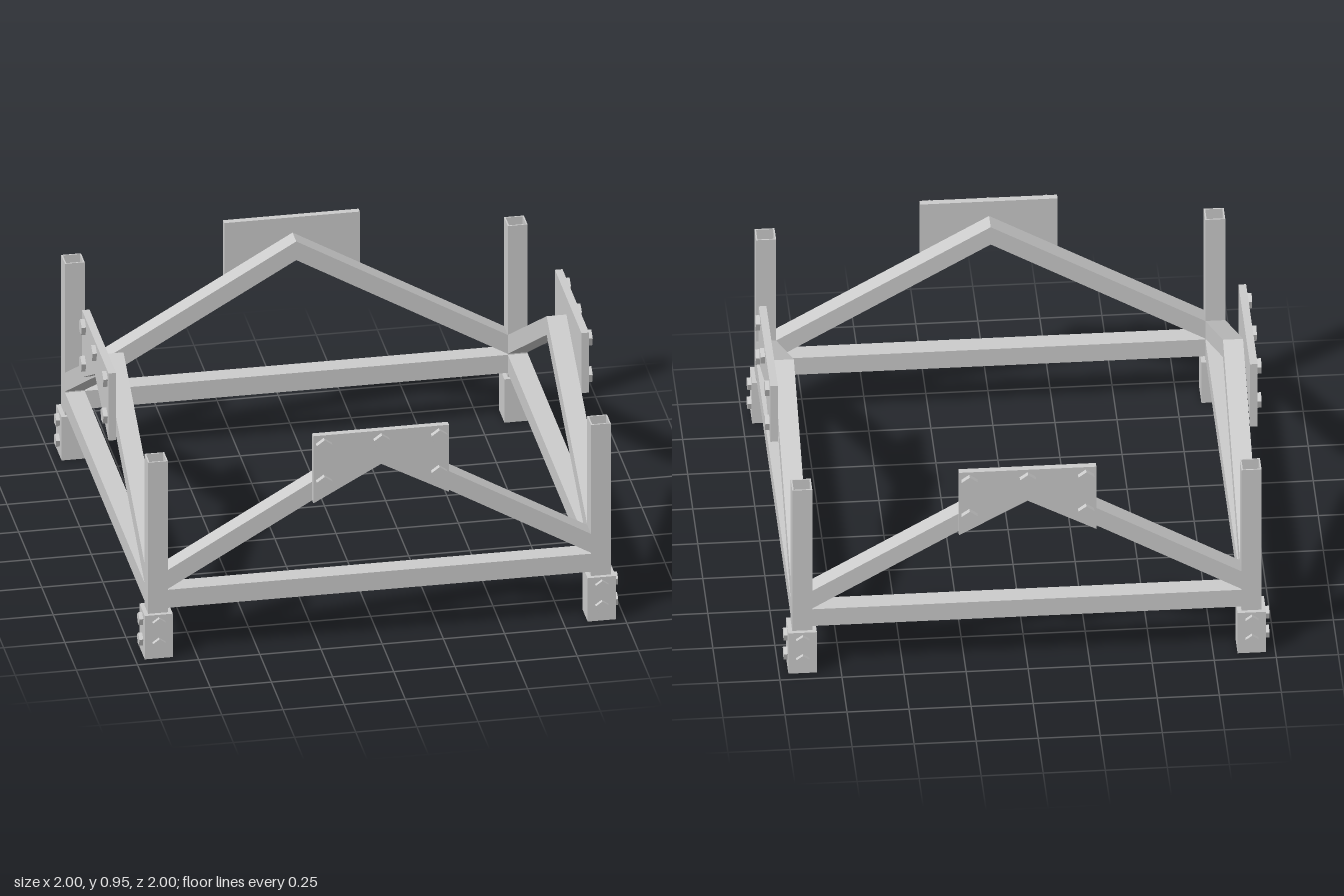
import * as THREE from 'three';

const mat = new THREE.MeshStandardMaterial({ color: 0xcccccc, flatShading: true });
const PX = 0.905, PZ = 0.9;   // post centres
const T = 0.081;              // square tube size

function add(parent, geo, name, x = 0, y = 0, z = 0) {
  const m = new THREE.Mesh(geo, mat);
  m.name = name;
  m.position.set(x, y, z);
  parent.add(m);
  return m;
}

function extrude(points, depth) {
  const shape = new THREE.Shape(points.map(([x, y]) => new THREE.Vector2(x, y)));
  return new THREE.ExtrudeGeometry(shape, { depth, bevelEnabled: false });
}

// Five-sided bolt head, facing +z with its base at z
function bolt(parent, name, x, y, z, r, h) {
  const geo = new THREE.CylinderGeometry(r, r, h, 5);
  geo.rotateX(Math.PI / 2);
  geo.rotateZ(Math.PI);
  add(parent, geo, name, x, y, z + h / 2);
}

// One side of the frame, built facing +z
function buildSide({ name, angle, dist, span, apex, centre, half, corner, notch, thick }) {
  const g = new THREE.Group();
  g.name = name;
  // Lower rail between the posts
  add(g, new THREE.BoxGeometry(span * 2, 0.081, T), 'lowerRail', 0, 0.255, dist);
  // Pair of sloping braces meeting at a peak
  for (const s of [-1, 1]) {
    const pts = [[s * span, 0.3], [apex, 0.803], [apex, 0.887], [s * span, 0.385]];
    add(g, extrude(pts, T), 'brace', 0, 0, dist - T / 2);
  }
  // Notched gusset plate over the joint
  const l = centre - half, r = centre + half, z = 0.951;
  add(g, extrude([[l, corner], [apex, notch], [r, corner], [r, 0.95], [l, 0.95]], thick), 'gussetPlate', 0, 0, z);
  for (const [x, y] of [[-0.235, 0.905], [0, 0.905], [0.235, 0.905], [-0.235, 0.74], [0.235, 0.74]])
    bolt(g, 'plateBolt', x + centre / 2, y, z + thick, 0.034, 1 - z - thick);
  g.rotation.y = angle;
  return g;
}

// Hollow post in a bolted foot, for the corner at signs sx, sz
function buildCorner(sx, sz) {
  const g = new THREE.Group();
  g.name = 'corner';
  const h = T / 2, w = h - 0.006, F = 0.115;
  const section = new THREE.Shape([[-h, -h], [h, -h], [h, h], [-h, h]].map(p => new THREE.Vector2(...p)));
  section.holes.push(new THREE.Path([[-w, -w], [-w, w], [w, w], [w, -w]].map(p => new THREE.Vector2(...p))));
  const post = new THREE.ExtrudeGeometry(section, { depth: 0.685, bevelEnabled: false });
  post.rotateX(-Math.PI / 2);
  add(g, post, 'post', 0, 0.19, 0);
  add(g, new THREE.BoxGeometry(F, 0.195, F), 'foot', 0, 0.0975, 0);
  // Bolts on the two outward faces
  for (const angle of [sz > 0 ? 0 : Math.PI, sx * Math.PI / 2]) {
    const face = new THREE.Group();
    face.name = 'footBolts';
    for (const y of [0.065, 0.157]) bolt(face, 'footBolt', 0, y, F / 2, 0.028, 0.016);
    face.rotation.y = angle;
    g.add(face);
  }
  g.position.set(sx * PX, 0, sz * PZ);
  return g;
}

export function createModel() {
  const model = new THREE.Group();
  model.name = 'frame';
  for (const sx of [-1, 1]) for (const sz of [-1, 1]) model.add(buildCorner(sx, sz));

  const end = { dist: PZ, span: PX - T / 2, apex: 0, centre: 0, half: 0.277, corner: 0.648, notch: 0.8, thick: 0.027 };
  const flank = { dist: PX, span: PZ - T / 2, half: 0.287, thick: 0.031 };
  model.add(
    buildSide({ ...end, name: 'frontSide', angle: 0 }),
    buildSide({ ...end, name: 'backSide', angle: Math.PI }),
    buildSide({ ...flank, name: 'leftSide', angle: Math.PI / 2, apex: 0.02, centre: 0.01, corner: 0.68, notch: 0.785 }),
    buildSide({ ...flank, name: 'rightSide', angle: -Math.PI / 2, apex: -0.02, centre: -0.01, corner: 0.648, notch: 0.8 }),
  );
  return model;
}
